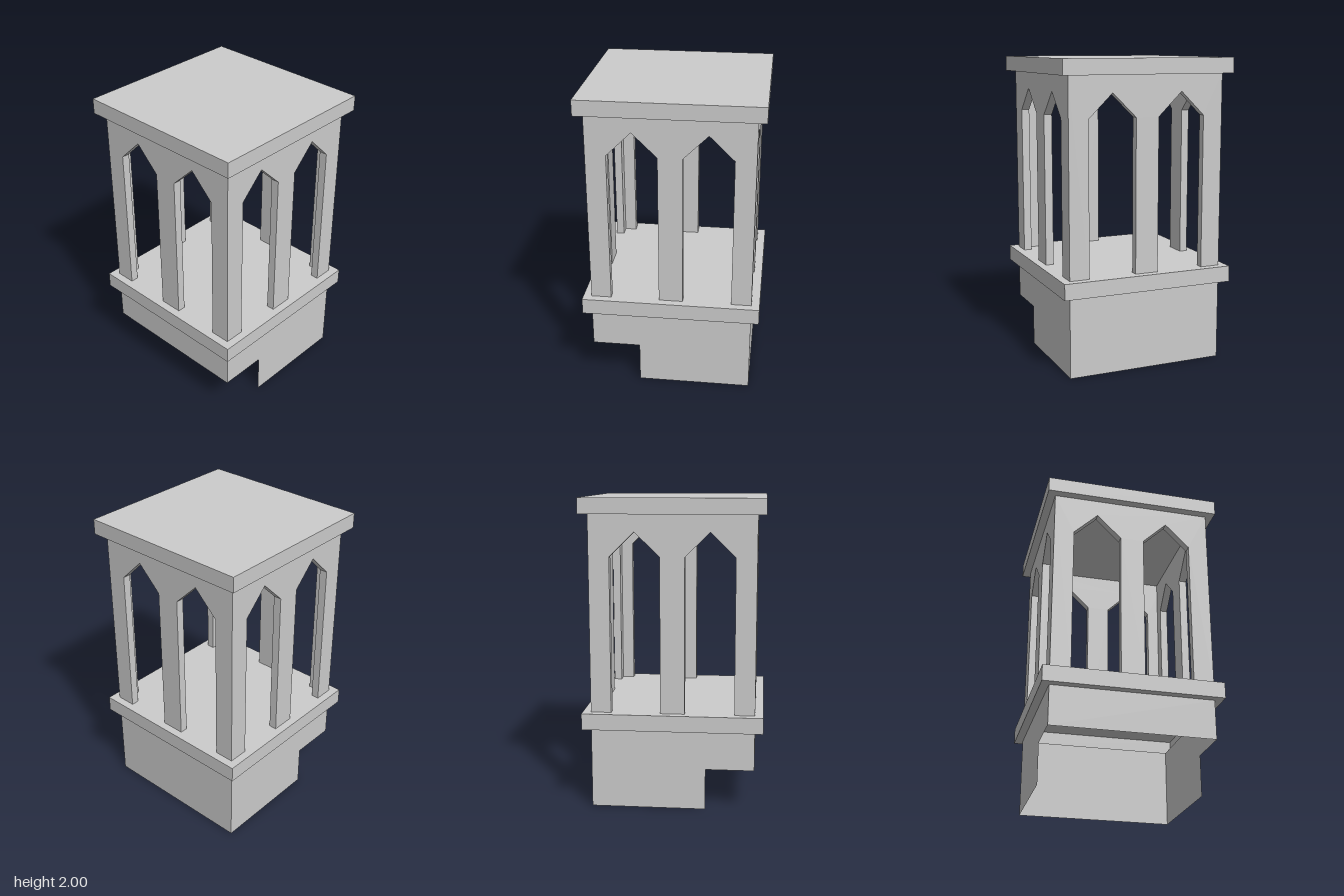
import * as THREE from 'three';

const HALF = 0.527;   // half width of the walls
const LEDGE = 0.58;   // half width of the slabs
const THICK = 0.053;  // arcade wall thickness

const solid = new THREE.MeshStandardMaterial({ color: 0xcccccc, flatShading: true });
const thin = new THREE.MeshStandardMaterial({ color: 0xcccccc, flatShading: true, side: THREE.DoubleSide });

function addMesh(group, name, geometry, material) {
  const mesh = new THREE.Mesh(geometry, material);
  mesh.name = name;
  group.add(mesh);
  return mesh;
}

function polygon(points) {
  return new THREE.Shape(points.map(([x, y]) => new THREE.Vector2(x, y)));
}

// Arcade wall with two pointed openings that run down to the floor
function arcadeWall(halfWidth) {
  const floor = 0.635, spring = 1.635, apex = 1.79, top = 1.9;
  const points = [[-halfWidth, top], [-halfWidth, floor]];
  for (const [a, b] of [[-0.395, -0.078], [0.078, 0.395]]) {
    points.push([a, floor], [a, spring], [(a + b) / 2, apex], [b, spring], [b, floor]);
  }
  points.push([halfWidth, floor], [halfWidth, top]);
  return new THREE.ExtrudeGeometry(polygon(points), { depth: THICK, bevelEnabled: false });
}

// Square shell swept from a (half width, height) profile
function squareShell(profile) {
  const points = profile.map(([h, y]) => new THREE.Vector2(h * Math.SQRT2, y));
  const geometry = new THREE.LatheGeometry(points, 4, Math.PI / 4).toNonIndexed();
  geometry.computeVertexNormals();
  return geometry;
}

export function createModel() {
  const model = new THREE.Group();
  model.name = 'belfry';

  // Roof slab
  const roof = addMesh(model, 'roofSlab', new THREE.BoxGeometry(2 * LEDGE, 0.1, 2 * LEDGE), solid);
  roof.position.y = 1.95;

  // Four arcade walls; the side pair fits between the front and back
  const sides = ['front', 'left', 'back', 'right'];
  sides.forEach((side, i) => {
    const geometry = arcadeWall(i % 2 ? HALF - THICK : HALF);
    geometry.translate(0, 0, HALF - THICK);
    addMesh(model, side + 'Arcade', geometry, solid).rotation.y = i * Math.PI / 2;
  });

  // Floor slab, hollow above the open base
  addMesh(model, 'floorSlab', squareShell([
    [HALF, 0.53], [LEDGE, 0.53], [LEDGE, 0.635], [0, 0.635],
  ]), thin);

  // Thin base skirt, open below and cut away at the front
  const base = new THREE.Group();
  base.name = 'base';
  model.add(base);
  const cut = 0.27, step = 0.213, top = 0.53;

  const front = new THREE.PlaneGeometry(2 * HALF, top - cut);
  addMesh(base, 'baseFront', front, thin).position.set(0, (top + cut) / 2, HALF);

  const back = addMesh(base, 'baseBack', new THREE.PlaneGeometry(2 * HALF, top), thin);
  back.position.set(0, top / 2, -HALF);
  back.rotation.y = Math.PI;

  const sideShape = polygon([
    [-HALF, 0], [step, 0], [step, cut], [HALF, cut], [HALF, top], [-HALF, top],
  ]);
  for (const [name, x] of [['baseLeft', HALF], ['baseRight', -HALF]]) {
    const side = addMesh(base, name, new THREE.ShapeGeometry(sideShape), thin);
    side.rotation.y = -Math.PI / 2;
    side.position.x = x;
  }

  return model;
}
